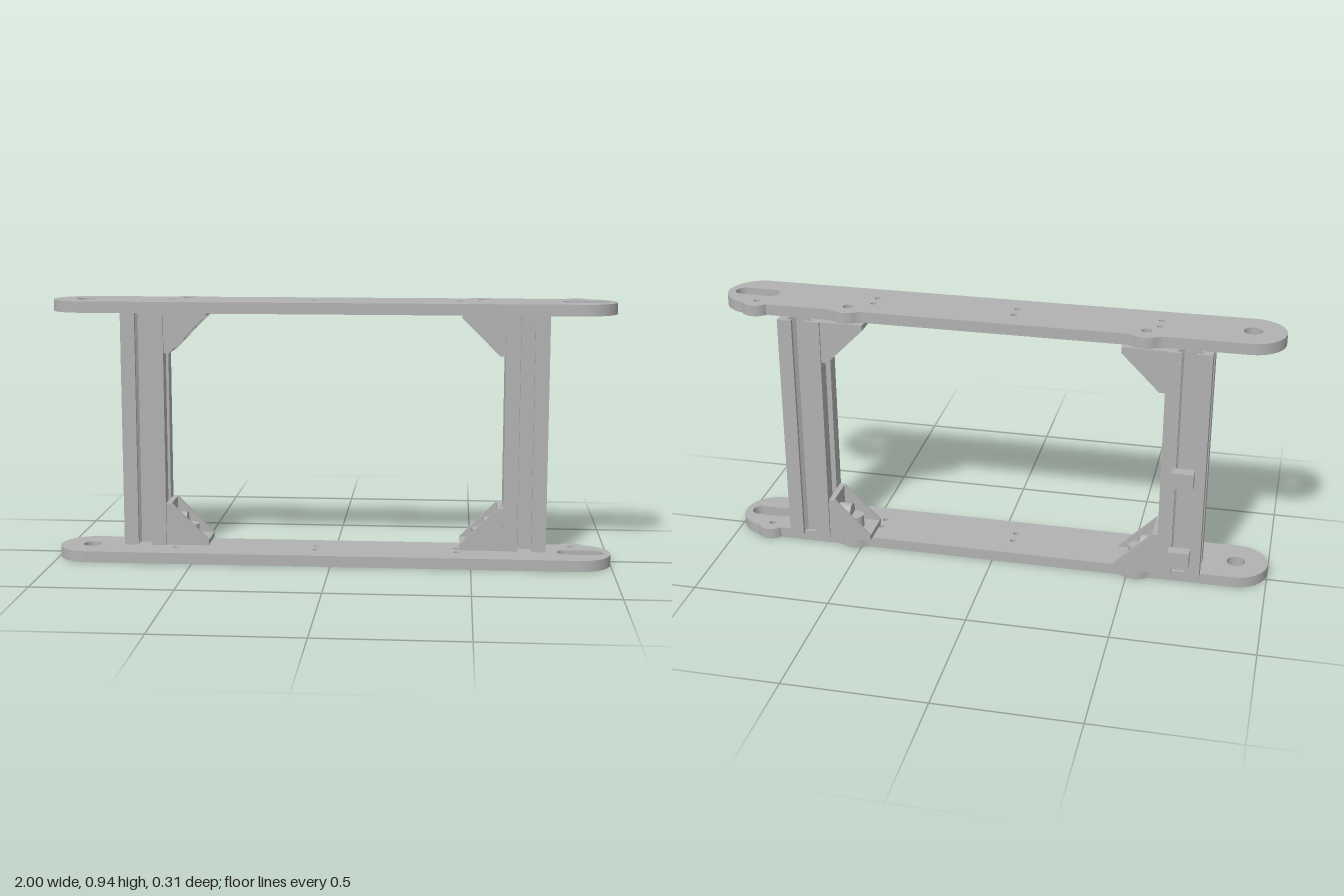
import * as THREE from 'three';

const grey = new THREE.MeshStandardMaterial({ color: 0xb2b2b2 });
grey.name = 'plain grey';
const rad = THREE.MathUtils.degToRad;

function addMesh(parent, name, geometry, x = 0, y = 0, z = 0) {
  const m = new THREE.Mesh(geometry, grey);
  m.name = name;
  m.position.set(x, y, z);
  parent.add(m);
  return m;
}

function roundHole(x, y, r) {
  return new THREE.Path().absarc(x, y, r, 0, Math.PI * 2, true);
}

// Extrudes a plan shape upwards; the shape's y runs towards -z
function extrudeUp(shape, height) {
  return new THREE.ExtrudeGeometry(shape, { depth: height, bevelEnabled: false, curveSegments: 24 })
    .rotateX(-Math.PI / 2);
}

// Long side plate with rounded ends, screw lobes on the back edge and holes
function plateGeometry() {
  const s = new THREE.Shape();
  s.moveTo(-0.8825, -0.155);
  s.lineTo(0.8825, -0.155);
  s.absarc(0.8825, -0.0375, 0.1175, -Math.PI / 2, rad(76.3), false);
  s.absarc(0.865, 0.05, 0.053, rad(31.5), rad(145.5), false);
  for (const x of [0.53, -0.53]) {
    s.lineTo(x + 0.066, 0.08);
    s.quadraticCurveTo(x + 0.052, 0.08, x + 0.0373, 0.0902);
    s.absarc(x, 0.037, 0.065, rad(55), rad(125), false);
    s.quadraticCurveTo(x - 0.052, 0.08, x - 0.066, 0.08);
    s.holes.push(roundHole(x, 0.037, 0.018));
  }
  s.lineTo(-0.8825, 0.08);
  s.absarc(-0.8825, -0.0375, 0.1175, Math.PI / 2, Math.PI * 1.5, false);

  s.holes.push(roundHole(-0.885, -0.0365, 0.033), roundHole(0.865, 0.05, 0.012));
  for (const x of [-0.57, -0.06, 0.45])
    for (const y of [-0.01, -0.065]) s.holes.push(roundHole(x, y, 0.011));

  const slot = new THREE.Path();
  slot.absarc(0.842, -0.035, 0.032, Math.PI / 2, Math.PI * 1.5, false);
  slot.absarc(0.942, -0.035, 0.032, -Math.PI / 2, Math.PI / 2, false);
  slot.closePath();
  s.holes.push(slot);
  return extrudeUp(s, 0.04);
}

// Square T-slot post: one side of the section repeated four times
function postGeometry(height) {
  const side = [[10, 10], [3.3, 10], [3.3, 8.2], [5.5, 8.2], [5.5, 6.6], [2.9, 4],
    [-2.9, 4], [-5.5, 6.6], [-5.5, 8.2], [-3.3, 8.2], [-3.3, 10]];
  const unit = 0.00775;
  const points = [];
  for (let i = 0; i < 4; i++) {
    for (const [x, y] of side)
      points.push(new THREE.Vector2(x * unit, y * unit)
        .rotateAround(new THREE.Vector2(), i * Math.PI / 2));
  }
  const s = new THREE.Shape(points);
  s.holes.push(roundHole(0, 0, 0.018));
  return extrudeUp(s, height);
}

// Open corner bracket: two legs, two gussets and two screw heads
function makeBracket() {
  const g = new THREE.Group();
  g.name = 'cornerBracket';
  const size = 0.155, t = 0.02, half = 0.07, wall = 0.014;
  addMesh(g, 'bracketFoot', new THREE.BoxGeometry(size, t, half * 2 - wall), size / 2, t / 2, 0);
  addMesh(g, 'bracketBack', new THREE.BoxGeometry(t, size, half * 2 - wall), t / 2, size / 2, 0);

  const tri = new THREE.Shape();
  tri.moveTo(0, 0);
  tri.lineTo(size, 0);
  tri.lineTo(size, t);
  tri.lineTo(t, size);
  tri.lineTo(0, size);
  tri.closePath();
  const gusset = new THREE.ExtrudeGeometry(tri, { depth: wall, bevelEnabled: false });
  addMesh(g, 'frontGusset', gusset, 0, 0, half - wall);
  addMesh(g, 'backGusset', gusset, 0, 0, -half);

  const head = new THREE.CylinderGeometry(0.03, 0.03, 0.047, 24);
  addMesh(g, 'footScrew', head, 0.08, 0.0435, 0);
  addMesh(g, 'backScrew', head, 0.0435, 0.08, 0).rotation.z = -Math.PI / 2;
  return g;
}

export function createModel() {
  const model = new THREE.Group();
  model.name = 'frame';
  const postZ = -0.0375;

  // Plates
  const plate = plateGeometry();
  addMesh(model, 'bottomPlate', plate);
  addMesh(model, 'topPlate', plate, 0, 0.902, 0);

  // Posts
  const post = postGeometry(0.862);
  addMesh(model, 'rightPost', post, -0.6875, 0.04, postZ);
  addMesh(model, 'leftPost', post, 0.692, 0.04, postZ);

  // Corner brackets, turned a quarter each
  [[-0.61, 0.04], [0.6145, 0.04], [0.6145, 0.902], [-0.61, 0.902]].forEach(([x, y], i) => {
    const b = makeBracket();
    b.position.set(x, y, postZ);
    b.rotation.z = i * Math.PI / 2;
    model.add(b);
  });

  // Small blocks on the back of the right post
  const block = new THREE.BoxGeometry(0.076, 0.061, 0.042);
  for (const y of [0.127, 0.44]) addMesh(model, 'backBlock', block, -0.69, y, -0.135);

  return model;
}
